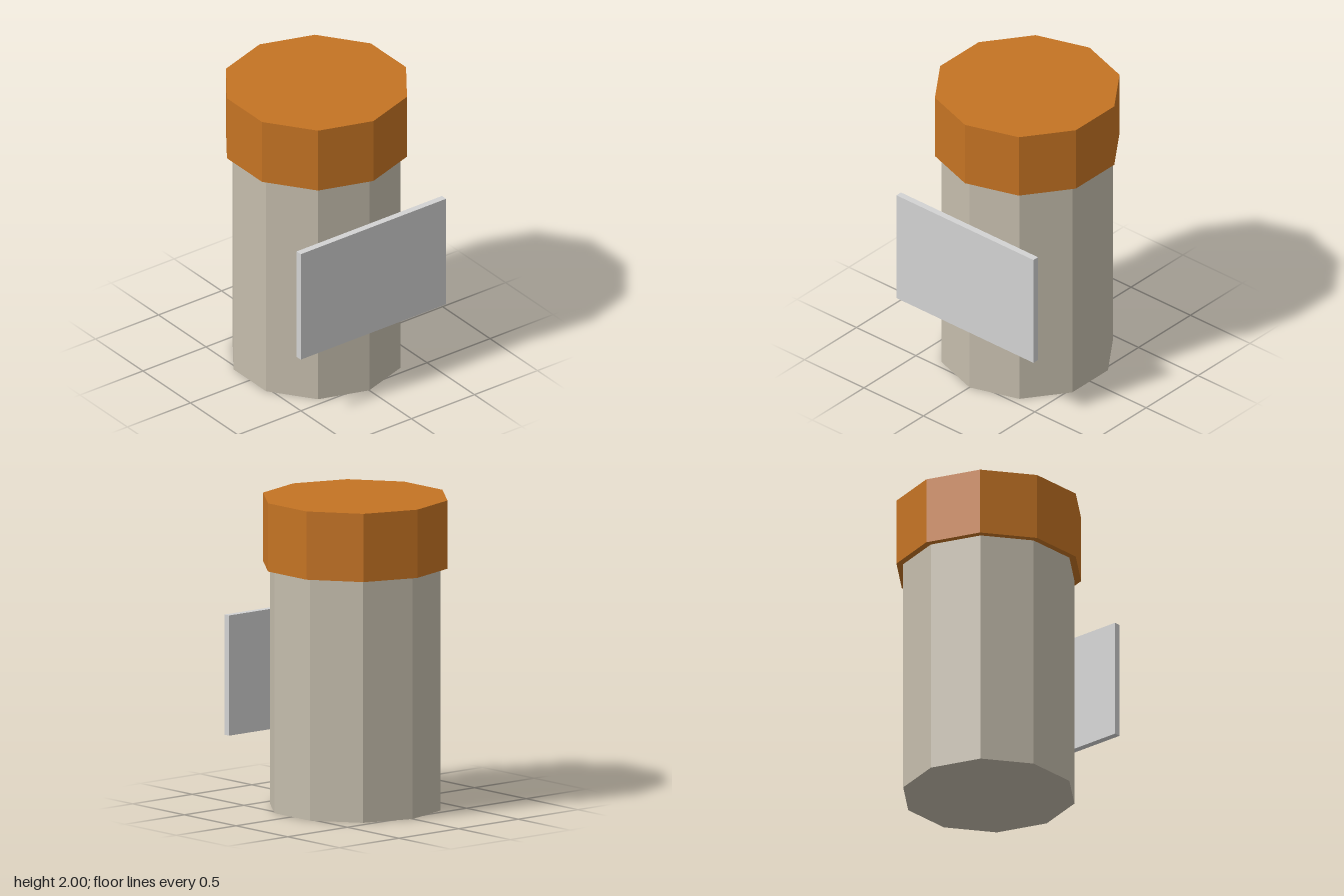
import * as THREE from 'three';

const material = (name, color) => {
  const m = new THREE.MeshStandardMaterial({ color, flatShading: true });
  m.name = name;
  return m;
};

export function createModel() {
  const group = new THREE.Group();
  const stone = material('warm grey', 0xc4bcac);
  const orange = material('burnt orange', 0xc47323);
  const silver = material('light grey', 0xd3d3d3);

  const add = (name, geometry, mat, y, z = 0) => {
    const mesh = new THREE.Mesh(geometry, mat);
    mesh.name = name;
    mesh.position.set(0, y, z);
    group.add(mesh);
  };

  // Ten-sided body with a corner facing forward
  add('body', new THREE.CylinderGeometry(0.556, 0.556, 1.56, 10), stone, 0.78);
  // Wider lid on top
  add('lid', new THREE.CylinderGeometry(0.6, 0.6, 0.44, 10), orange, 1.78);
  // Flat label plate touching the front corner
  add('labelPlate', new THREE.BoxGeometry(1.152, 0.775, 0.044), silver, 0.8375, 0.578);

  return group;
}
